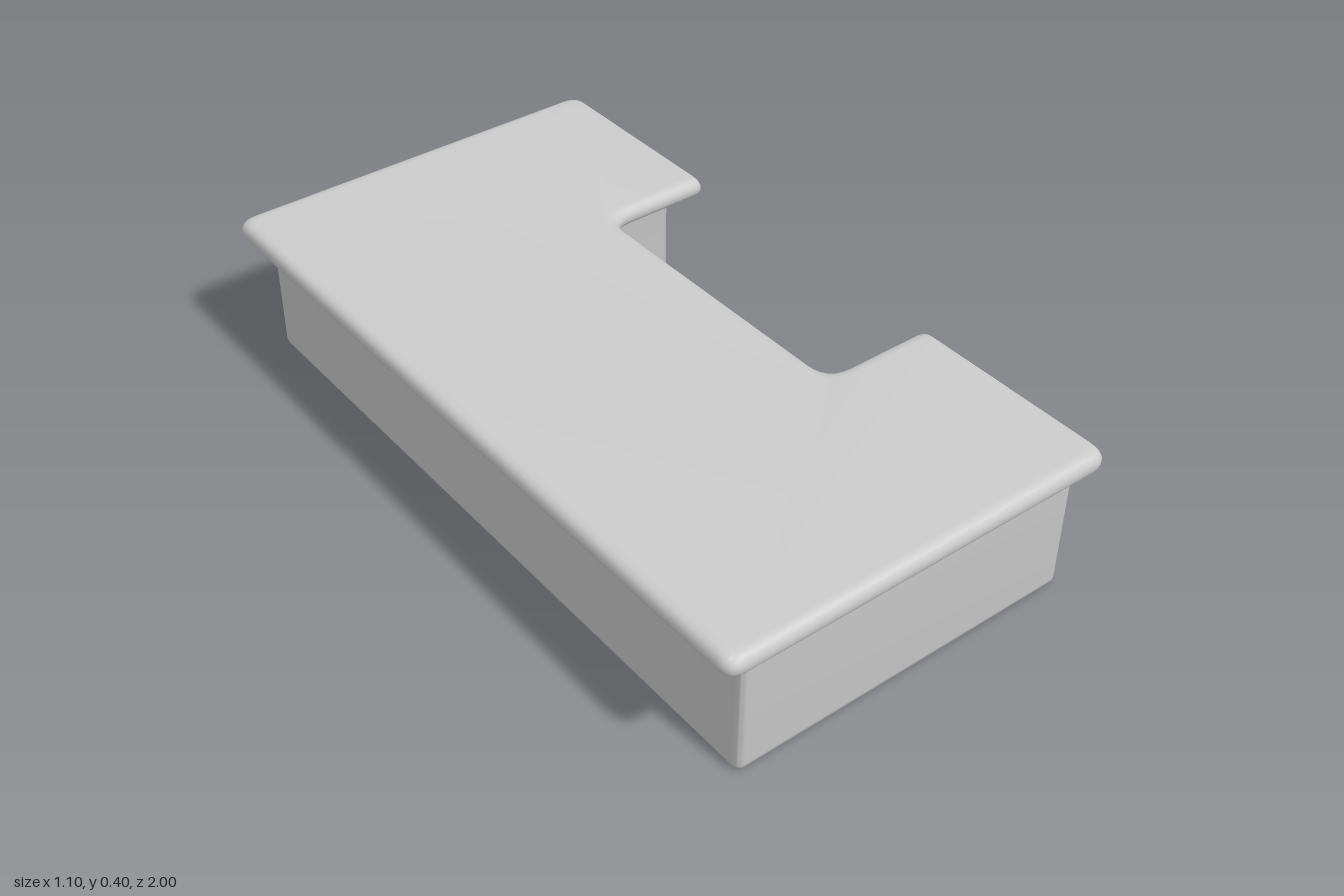
import * as THREE from 'three';
import { toCreasedNormals } from 'three/addons/utils/BufferGeometryUtils.js';

const material = new THREE.MeshStandardMaterial({ color: 0xcccccc, roughness: 0.8 });

// U-shaped plans of the cabinet walls and of the overhanging worktop
const BODY = { back: -0.48, front: 0.48, end: 0.957, notchX: 0.16, notchZ: 0.5, round: 0.022, mouth: 0.03, cove: 0.05 };
const TOP = { back: -0.55, front: 0.53, end: 1.0, notchX: 0.22, notchZ: 0.42, round: 0.04, mouth: 0.025, cove: 0.07 };

// Plan outline blended from BODY (t = 0) to TOP (t = 1), shrunk by inset, with rounded corners
function outline(t, inset) {
  const p = {};
  for (const k in BODY) p[k] = THREE.MathUtils.lerp(BODY[k], TOP[k], t);
  const x0 = p.back + inset, x1 = p.front - inset, e = p.end - inset;
  const nx = p.notchX - inset, nz = p.notchZ + inset;
  const corners = [
    [x0, -e, p.round], [x1, -e, p.round], [x1, -nz, p.mouth], [nx, -nz, p.cove],
    [nx, nz, p.cove], [x1, nz, p.mouth], [x1, e, p.round], [x0, e, p.round],
  ];
  const steps = 6, pts = [], n = corners.length;
  corners.forEach(([x, y, r], i) => {
    const c = new THREE.Vector2(x, y);
    const toward = (q) => new THREE.Vector2(q[0], q[1]).sub(c).setLength(r).add(c);
    const curve = new THREE.QuadraticBezierCurve(toward(corners[(i + n - 1) % n]), c, toward(corners[(i + 1) % n]));
    pts.push(...curve.getPoints(steps));
  });
  return pts;
}

// Skin a stack of [height, blend, inset] levels and close both ends
function counterGeometry(levels) {
  const rings = levels.map(([, t, inset]) => outline(t, inset));
  const n = rings[0].length, pos = [], idx = [];
  rings.forEach((ring, k) => ring.forEach((p) => pos.push(p.x, levels[k][0], -p.y)));
  for (let k = 0; k < rings.length - 1; k++) {
    for (let i = 0; i < n; i++) {
      const j = (i + 1) % n, a = k * n + i, b = k * n + j;
      idx.push(a, b, b + n, a, b + n, a + n);
    }
  }
  const last = (rings.length - 1) * n;
  for (const [a, b, c] of THREE.ShapeUtils.triangulateShape(rings[0], [])) idx.push(a, c, b);
  for (const [a, b, c] of THREE.ShapeUtils.triangulateShape(rings[rings.length - 1], [])) idx.push(last + a, last + b, last + c);
  const geo = new THREE.BufferGeometry();
  geo.setAttribute('position', new THREE.Float32BufferAttribute(pos, 3));
  geo.setIndex(idx);
  return toCreasedNormals(geo, 0.7);
}

// Octagonal drawer plate with a bevelled rim, facing +x
function plateGeometry() {
  const w = 0.157, h = 0.053, cw = 0.03, ch = 0.032;
  const shape = new THREE.Shape([
    [-w + cw, -h], [w - cw, -h], [w, -h + ch], [w, h - ch],
    [w - cw, h], [-w + cw, h], [-w, h - ch], [-w, -h + ch],
  ].map(([x, y]) => new THREE.Vector2(x, y)));
  return new THREE.ExtrudeGeometry(shape, {
    depth: 0.025, bevelThickness: 0.006, bevelSize: 0.006, bevelSegments: 2,
  }).rotateY(Math.PI / 2);
}

// Knob: slim stem and faceted head turned around x
function knobGeometry() {
  const profile = [[0.012, 0], [0.007, 0.006], [0.006, 0.016], [0.014, 0.022], [0.018, 0.032], [0.013, 0.042], [0, 0.046]];
  return toCreasedNormals(
    new THREE.LatheGeometry(profile.map(([r, y]) => new THREE.Vector2(r, y)), 10).rotateZ(-Math.PI / 2), 0.9);
}

export function createModel() {
  const group = new THREE.Group();
  const add = (name, geo, parent, x = 0, y = 0, z = 0) => {
    const mesh = new THREE.Mesh(geo, material);
    mesh.name = name;
    mesh.position.set(x, y, z);
    parent.add(mesh);
  };

  // Cabinet with softened foot, cove under the overhang and bullnose worktop
  add('counter', counterGeometry([
    [0, 0, 0.015], [0.004, 0, 0.006], [0.01, 0, 0.002], [0.02, 0, 0],
    [0.305, 0, 0], [0.32, 0.05, 0], [0.33, 0.17, 0], [0.336, 0.35, 0], [0.341, 0.6, 0], [0.347, 0.8, 0],
    [0.355, 0.94, 0], [0.365, 1, 0], [0.377, 1, 0], [0.388, 1, 0.004],
    [0.395, 1, 0.01], [0.399, 1, 0.019], [0.4, 1, 0.03],
  ]), group);

  // One drawer on the face of each wing
  for (const side of [1, -1]) {
    const drawer = new THREE.Group();
    drawer.name = side > 0 ? 'frontDrawer' : 'backDrawer';
    drawer.position.set(0.474, 0.177, side * 0.733);
    add('drawerPlate', plateGeometry(), drawer);
    add('drawerKnob', knobGeometry(), drawer, 0.03);
    group.add(drawer);
  }
  return group;
}
